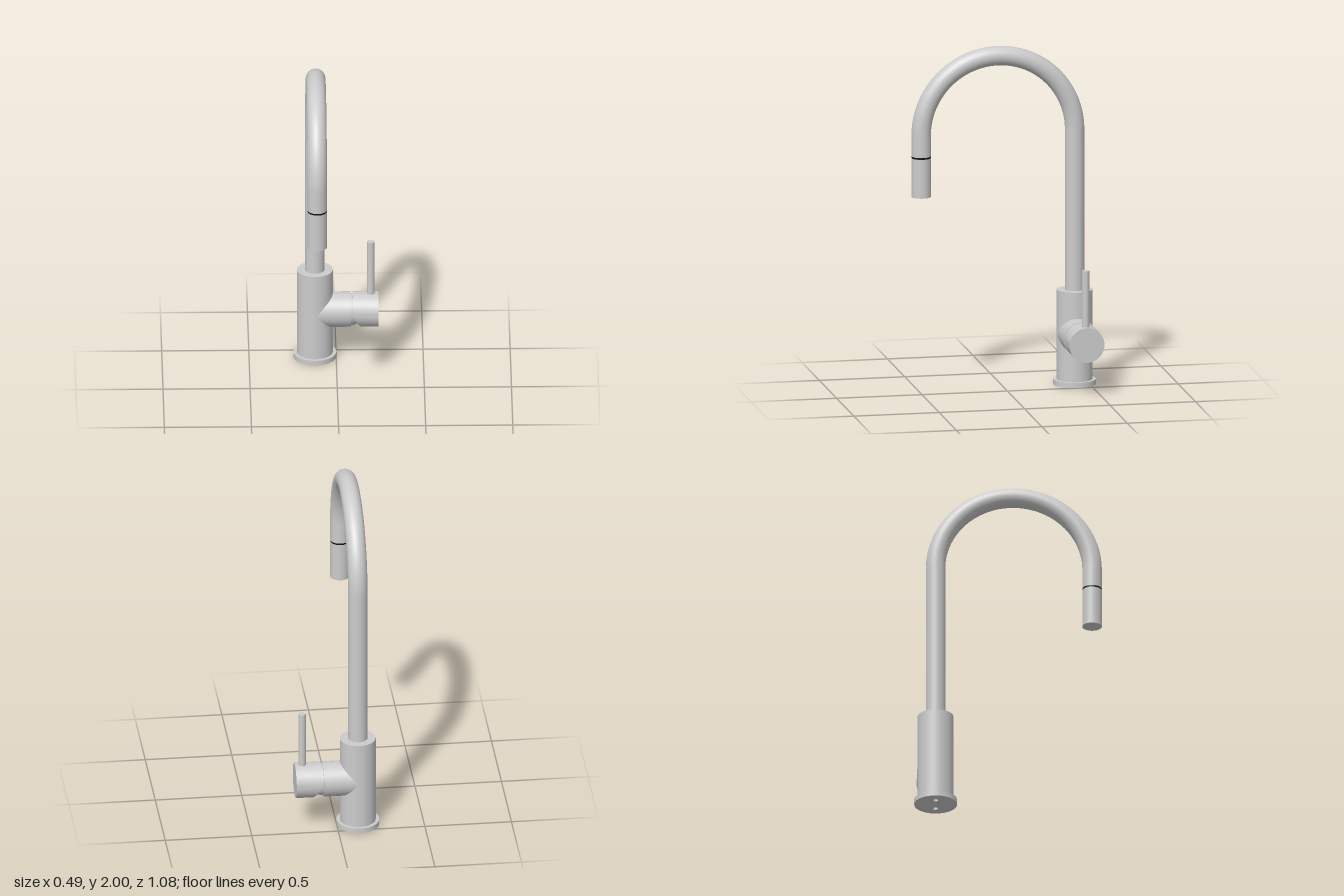
import * as THREE from 'three';
import { toCreasedNormals } from 'three/addons/utils/BufferGeometryUtils.js';

const AX = -0.122, AZ = -0.418;   // body axis
const FRONT_Z = 0.48;             // outlet axis
const PIPE_R = 0.056, BODY_R = 0.103, HANDLE_Y = 0.3;
const SEG = 64;

export function createModel() {
  const group = new THREE.Group();
  const metal = new THREE.MeshStandardMaterial({ color: 0xcccccc });
  const inner = new THREE.MeshStandardMaterial({ color: 0xcccccc, side: THREE.DoubleSide });
  const dark = new THREE.MeshStandardMaterial({ color: 0x111111 });

  const add = (name, geometry, x = 0, y = 0, z = 0, material = metal) => {
    const mesh = new THREE.Mesh(geometry, material);
    mesh.name = name;
    mesh.position.set(x, y, z);
    group.add(mesh);
    return mesh;
  };
  // upright cylinder between two heights
  const post = (name, r, y0, y1, x, z, material, open = false) =>
    add(name, new THREE.CylinderGeometry(r, r, y1 - y0, SEG, 1, open), x, (y0 + y1) / 2, z, material);
  // cylinder lying along x between two x positions
  const barGeometry = (r, x0, x1) =>
    new THREE.CylinderGeometry(r, r, x1 - x0, SEG).rotateZ(-Math.PI / 2).translate((x0 + x1) / 2, 0, 0);

  // base flange with two hose holes underneath
  const flange = new THREE.Shape().absarc(0, 0, 0.123, 0, Math.PI * 2);
  for (const side of [-1, 1]) {
    flange.holes.push(new THREE.Path().absarc(side * 0.057, 0, 0.015, 0, Math.PI * 2, true));
    post('hoseBore', 0.015, 0, 0.2, AX + side * 0.057, AZ, inner);
    // keep the lower end of each bore open
    const bore = group.children[group.children.length - 1];
    bore.geometry = new THREE.CylinderGeometry(0.015, 0.015, 0.2, 24, 1, true);
    add('boreEnd', new THREE.CircleGeometry(0.015, 24).rotateX(Math.PI / 2), AX + side * 0.057, 0.2, AZ);
  }
  const flangeGeometry = new THREE.ExtrudeGeometry(flange, { depth: 0.03, bevelEnabled: false, curveSegments: SEG });
  add('baseFlange', toCreasedNormals(flangeGeometry.rotateX(-Math.PI / 2), 0.6), AX, 0, AZ);

  // body: open at the bottom, where it stands on the flange
  post('body', BODY_R, 0.03, 0.555, AX, AZ, metal, true);
  add('bodyTop', new THREE.CircleGeometry(BODY_R, SEG).rotateX(-Math.PI / 2), AX, 0.555, AZ);

  // gooseneck spout: column, half-circle arch, drop
  const archR = (FRONT_Z - AZ) / 2, archY = 2 - PIPE_R - archR;
  post('spoutColumn', PIPE_R, 0.55, archY, AX, AZ);
  add('spoutArch', new THREE.TorusGeometry(archR, PIPE_R, 48, 96, Math.PI).rotateY(Math.PI / 2),
    AX, archY, (FRONT_Z + AZ) / 2);
  post('spoutDrop', PIPE_R, 1.373, archY, AX, FRONT_Z);
  post('nozzleSeam', PIPE_R - 0.001, 1.363, 1.373, AX, FRONT_Z, dark);
  post('nozzle', PIPE_R, 1.135, 1.363, AX, FRONT_Z);

  // side arm and the ball joint the handle turns on
  add('sideArm', barGeometry(0.102, AX, 0.083), 0, HANDLE_Y, AZ);
  add('ballJoint', new THREE.SphereGeometry(0.092, SEG, 40), 0.083, HANDLE_Y, AZ);

  // handle knob: lower half of its inner face slopes away
  const knob = barGeometry(0.102, 0.095, 0.242);
  const p = knob.attributes.position;
  for (let i = 0; i < p.count; i++) {
    if (p.getX(i) < 0.1) p.setX(i, 0.095 + Math.max(0, -p.getY(i)) * 0.53);
  }
  add('handleKnob', toCreasedNormals(knob, 0.4), 0, HANDLE_Y, AZ);
  post('handleLever', 0.021, 0.38, 0.73, 0.199, AZ);

  return group;
}
